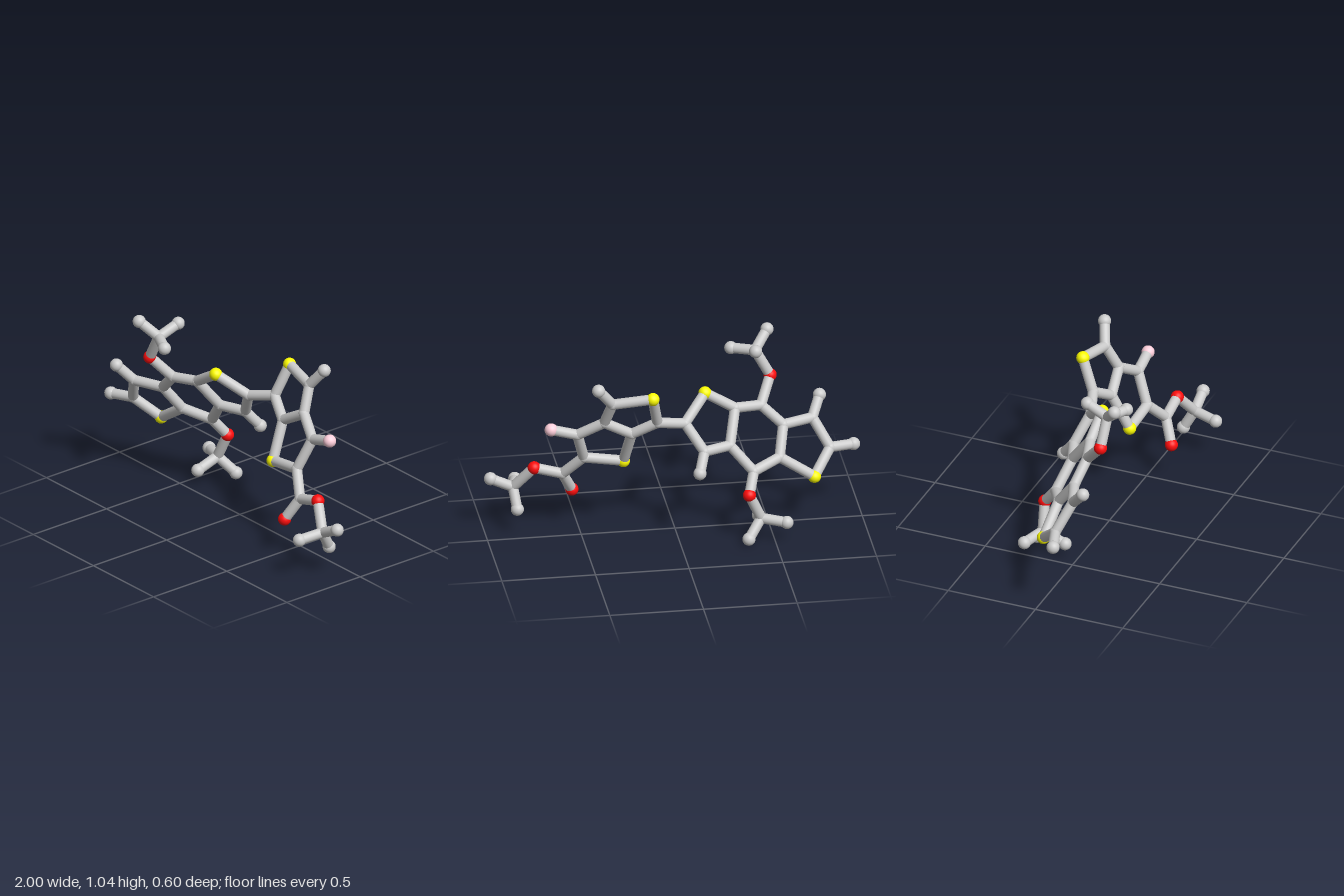
import * as THREE from 'three';

const COLORS = { C: 0xcccccc, H: 0xcccccc, O: 0xff0d0d, S: 0xffff00, F: 0xffd0dc };
const RADII = { C: 0.03, H: 0.035, O: 0.035, S: 0.035, F: 0.035 };
const NAMES = { C: 'jointBall', H: 'endBall', O: 'redBall', S: 'yellowBall', F: 'pinkBall' };
const BOND = 0.028;

// The two flat ring systems each lie in a tilted plane
const leftPlane = (x, y) => -0.38 * x + 0.643 * y - 0.528;
const rightPlane = (x, y) => 0.112 * x - 0.447 * y + 0.155;

// Each atom: x, y and, when it is off its plane, z. The first letter gives the kind.
const leftAtoms = {
  S1: [-0.735, 0.283], C2: [-0.835, 0.395], H2: [-0.967, 0.385],
  C3: [-0.75, 0.545], H3: [-0.8, 0.638], C3a: [-0.585, 0.545],
  C7a: [-0.55, 0.405], C4: [-0.47, 0.655], C5: [-0.325, 0.67],
  C6: [-0.28, 0.51], C7: [-0.4, 0.37], S2: [-0.165, 0.768],
  C8: [-0.04, 0.655], C9: [-0.135, 0.51], H9: [-0.1, 0.418],
  O1: [-0.535, 0.778], O2: [-0.365, 0.27],
  // upper and lower side groups
  Cu: [-0.455, 0.925, 0.18], Hu1: [-0.53, 1.01, 0.252],
  Hu2: [-0.44, 0.975, 0.06], Hu3: [-0.335, 0.92, 0.24],
  Cd: [-0.43, 0.125, -0.2], Hd1: [-0.56, 0.113, -0.25],
  Hd2: [-0.435, 0.08, -0.07], Hd3: [-0.355, 0.037, -0.265],
};
const rightAtoms = {
  C10: [0.115, 0.695], S3: [0.15, 0.868], C13: [0.36, 0.835],
  H13: [0.44, 0.937], C12: [0.395, 0.7], C11: [0.245, 0.615],
  C14: [0.53, 0.615], F14: [0.67, 0.655], C15: [0.485, 0.447],
  S4: [0.275, 0.417],
  // end group
  C16: [0.59, 0.33], O3: [0.53, 0.207, 0.13], O4: [0.74, 0.373, 0.075],
  Cm: [0.845, 0.243, 0.13], Hm1: [0.965, 0.3, 0.128],
  Hm2: [0.83, 0.138, 0.072], Hm3: [0.815, 0.227, 0.263],
};

// Chains of connected atoms
const chains = [
  'H2 C2 S1 C7a C3a C3 C2', 'C3 H3', 'C3a C4 C5 C6 C7 C7a', 'C5 S2 C8 C9 C6', 'C9 H9',
  'C4 O1 Cu Hu1', 'Hu2 Cu Hu3', 'C7 O2 Cd Hd1', 'Hd2 Cd Hd3',
  'C8 C10 S3 C13 C12 C11 C10', 'C13 H13', 'C11 S4 C15 C14 C12', 'C14 F14',
  'C15 C16 O4 Cm Hm1', 'C16 O3', 'Hm2 Cm Hm3',
];

export function createModel() {
  const model = new THREE.Group();
  const materials = {}, balls = {}, atoms = {};
  for (const k in COLORS) {
    materials[k] = new THREE.MeshStandardMaterial({ color: COLORS[k] });
    balls[k] = new THREE.SphereGeometry(RADII[k], 24, 16);
  }

  // Balls
  const place = (table, plane) => {
    for (const [id, [x, y, z = plane(x, y)]] of Object.entries(table)) {
      const kind = id[0];
      const ball = new THREE.Mesh(balls[kind], materials[kind]);
      ball.name = NAMES[kind];
      ball.position.set(x, y, z);
      atoms[id] = ball.position;
      model.add(ball);
    }
  };
  place(leftAtoms, leftPlane);
  place(rightAtoms, rightPlane);

  // Sticks between the balls
  const up = new THREE.Vector3(0, 1, 0);
  for (const chain of chains) {
    const ids = chain.split(' ');
    for (let i = 1; i < ids.length; i++) {
      const a = atoms[ids[i - 1]], b = atoms[ids[i]];
      const dir = b.clone().sub(a);
      const stick = new THREE.Mesh(
        new THREE.CylinderGeometry(BOND, BOND, dir.length(), 20, 1, true), materials.C);
      stick.name = 'stick';
      stick.position.copy(a).add(b).multiplyScalar(0.5);
      stick.quaternion.setFromUnitVectors(up, dir.normalize());
      model.add(stick);
    }
  }
  return model;
}
